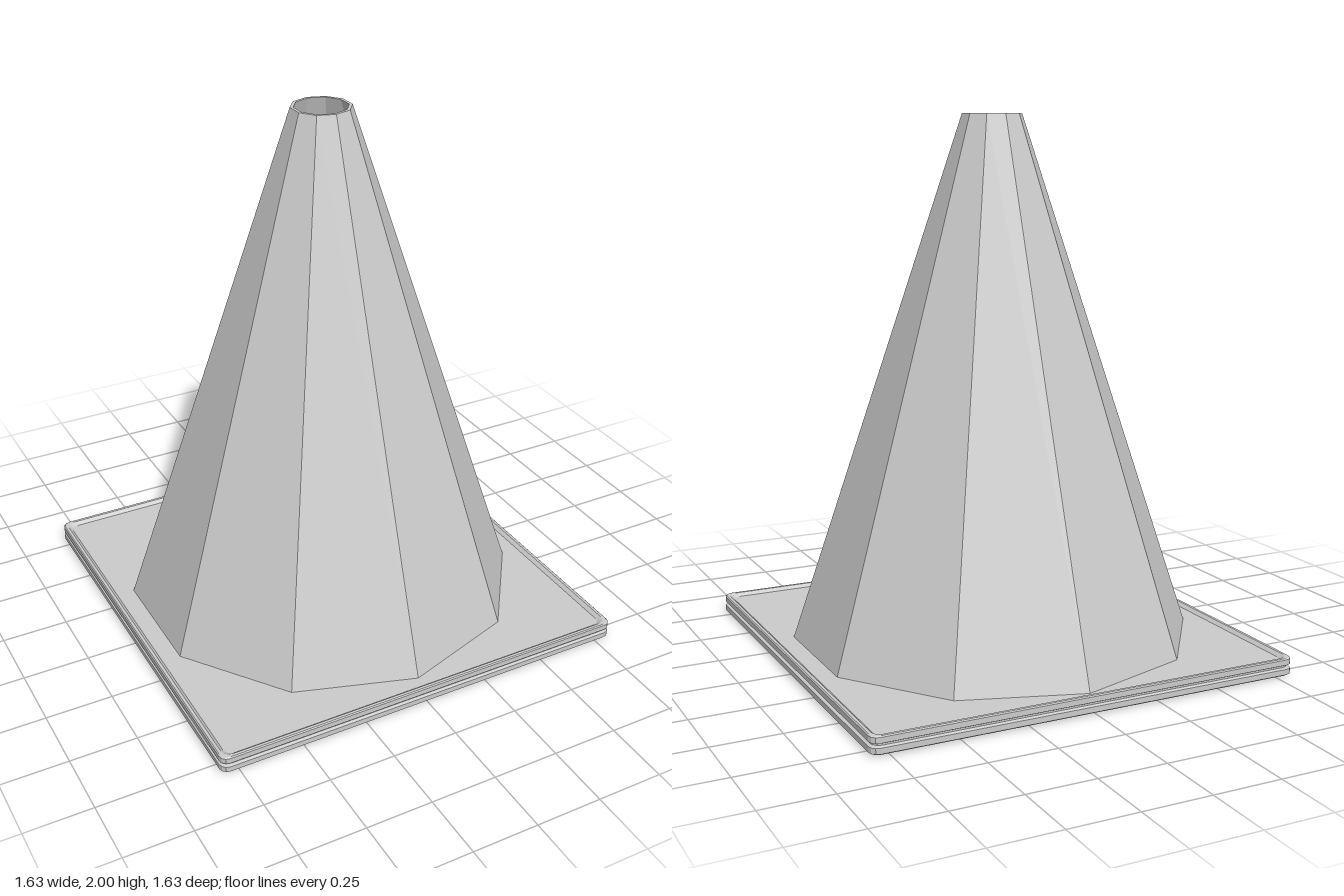
import * as THREE from 'three';

const grey = new THREE.MeshStandardMaterial({ color: 0xcccccc, flatShading: true });

// Corners of a rounded square of half-width h at height y, anticlockwise seen from below
function squareLoop(h, y, steps = 3) {
  const r = Math.min(0.03, h), loop = [];
  for (let c = 0; c < 4; c++) {
    const mid = Math.PI / 4 + c * Math.PI / 2;
    const cx = Math.sign(Math.sin(mid)) * (h - r), cz = Math.sign(Math.cos(mid)) * (h - r);
    for (let i = 0; i <= steps; i++) {
      const a = c * Math.PI / 2 + (i / steps) * Math.PI / 2;
      loop.push([cx + r * Math.sin(a), y, cz + r * Math.cos(a)]);
    }
  }
  return loop;
}

// Skin joining successive loops, listed from the bottom up the outside
function loft(loops) {
  const n = loops[0].length, index = [];
  for (let j = 0; j < loops.length - 1; j++) {
    for (let i = 0; i < n; i++) {
      const k = (i + 1) % n;
      const a = j * n + i, b = j * n + k, c = a + n, d = b + n;
      index.push(a, b, d, a, d, c);
    }
  }
  const g = new THREE.BufferGeometry();
  g.setAttribute('position', new THREE.Float32BufferAttribute(loops.flat(2), 3));
  g.setIndex(index);
  g.computeVertexNormals();
  return g;
}

export function createModel() {
  const group = new THREE.Group();

  // Square foot: grooved edge, low raised rim, flat top
  const footProfile = [
    [0, 0.006], [0.81, 0.006], [0.815, 0.01], [0.815, 0.03], [0.805, 0.035], [0.805, 0.041],
    [0.815, 0.046], [0.815, 0.066], [0.811, 0.07], [0.8, 0.07], [0.786, 0.058], [0, 0.058],
  ];
  const foot = new THREE.Mesh(loft(footProfile.map(([h, y]) => squareLoop(h, y))), grey);
  foot.name = 'baseFoot';
  group.add(foot);

  // Hollow ten-sided cone, open at the top, closed underneath
  const coneProfile = [
    [0, 0], [0.75, 0], [0.754, 0.058], [0.11, 2], [0.098, 2], [0.735, 0.064], [0, 0.064],
  ].map(([r, y]) => new THREE.Vector2(r, y));
  const cone = new THREE.Mesh(new THREE.LatheGeometry(coneProfile, 10), grey);
  cone.name = 'coneBody';
  cone.position.z = -0.012;
  group.add(cone);

  return group;
}
